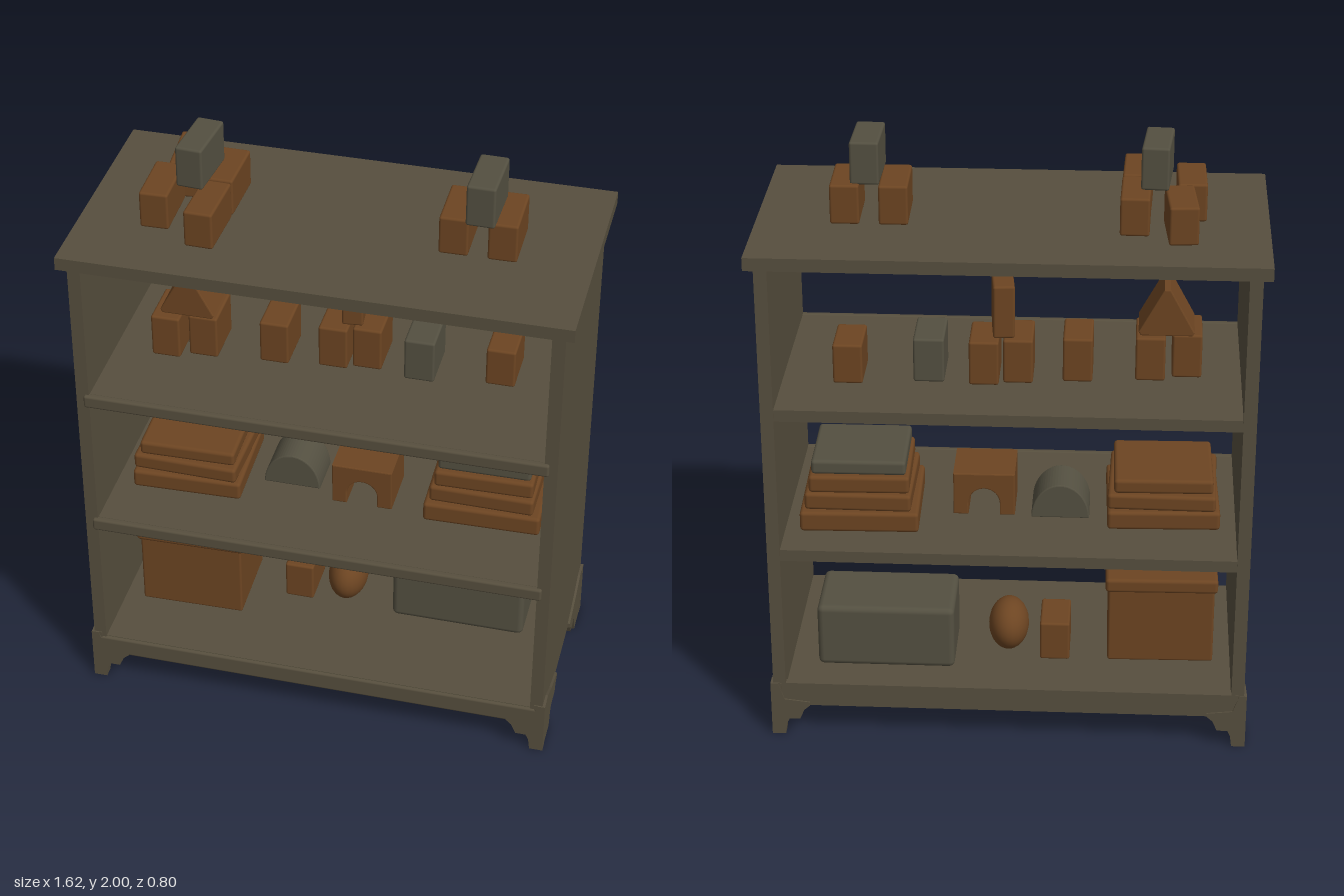
import * as THREE from 'three';
import { RoundedBoxGeometry } from 'three/addons/geometries/RoundedBoxGeometry.js';

export function createModel() {
  const model = new THREE.Group();
  const mat = (name, color) => Object.assign(new THREE.MeshStandardMaterial({ color }), { name });
  const wood = mat('dark wood', 0x574f3e);
  const brown = mat('brown', 0x6d4522);
  const grey = mat('grey', 0x545041);

  const add = (name, geometry, material, x = 0, y = 0, z = 0, ry = 0) => {
    const mesh = new THREE.Mesh(geometry, material);
    mesh.name = name;
    mesh.position.set(x, y, z);
    mesh.rotation.y = ry;
    model.add(mesh);
    return mesh;
  };
  // Square-edged board given by its limits
  const board = (name, x0, x1, y0, y1, z0, z1) =>
    add(name, new THREE.BoxGeometry(x1 - x0, y1 - y0, z1 - z0), wood,
      (x0 + x1) / 2, (y0 + y1) / 2, (z0 + z1) / 2);
  // Soft-edged block standing on y
  const block = (name, material, x, y, z, w, h, d, ry = 0, r = 0.008) =>
    add(name, new RoundedBoxGeometry(w, h, d, 2, r), material, x, y + h / 2, z, ry);
  const outline = points => new THREE.Shape(points.map(([x, y]) => new THREE.Vector2(x, y)));
  const extrude = (shape, depth, bevel = 0) => new THREE.ExtrudeGeometry(shape, {
    depth: depth - 2 * bevel, curveSegments: 16, bevelEnabled: bevel > 0,
    bevelSize: bevel, bevelThickness: bevel, bevelOffset: -bevel, bevelSegments: 2,
  }).translate(0, 0, -depth / 2 + bevel);

  // Cabinet, open at front and back
  board('top', -0.81, 0.81, 1.692, 1.735, -0.4, 0.4);
  for (const s of [-1, 1]) {
    const mid = s * 0.76;
    board('sidePanel', mid - 0.021, mid + 0.021, 0.112, 1.692, -0.375, 0.375);
  }
  for (const y of [0.66, 1.165]) {
    board('shelf', -0.74, 0.74, y, y + 0.04, -0.37, 0.375);
    block('shelfNosing', wood, 0, y - 0.002, 0.375, 1.51, 0.045, 0.024);
  }
  board('bottom', -0.74, 0.74, 0.112, 0.18, -0.37, 0.37);
  block('bottomNosing', wood, 0, 0.11, 0.36, 1.53, 0.068, 0.04);
  board('backRail', -0.76, 0.76, 0.112, 0.196, -0.375, -0.35);

  // Bracket feet: one stepped plate along the side, one along the face
  const sideFoot = [[0, 0], [0.125, 0], [0.138, 0.05], [0.15, 0.07], [0.22, 0.07], [0.232, 0.1],
    [0.25, 0.113], [0.25, 0.13], [0.14, 0.16], [0.06, 0.196], [0, 0.196]];
  const faceFoot = [[0, 0], [0.045, 0], [0.05, 0.04], [0.06, 0.06], [0.095, 0.06], [0.11, 0.095],
    [0.13, 0.113], [0.13, 0.125], [0.045, 0.135], [0.025, 0.196], [0, 0.196]];
  for (const sx of [-1, 1]) {
    for (const sz of [-1, 1]) {
      const side = extrude(outline(sideFoot.map(([u, v]) => [sz * (0.378 - u), v])), 0.036);
      add('footSide', side.rotateY(-Math.PI / 2), wood, sx * 0.771);
      const face = extrude(outline(faceFoot.map(([u, v]) => [sx * (0.79 - u), v])), 0.036);
      add('footFace', face, wood, 0, 0, sz * 0.362);
    }
  }

  // Blocks on the top
  const T = 1.735;
  for (const [x, z, ry] of [[-0.53, -0.135, 0.08], [-0.387, -0.067, -0.02],
    [-0.563, 0.065, 0.02], [-0.393, 0.14, -0.03]])
    block('topBlock', brown, x, T, z, 0.093, 0.125, 0.2, ry);
  block('topGreyBlock', grey, -0.453, T + 0.125, 0.005, 0.088, 0.14, 0.2, -0.08);
  for (const x of [0.373, 0.527]) block('topBlock', brown, x, T, -0.013, 0.093, 0.13, 0.2, 0.01);
  block('topGreyBlock', grey, 0.461, T + 0.125, 0.008, 0.092, 0.14, 0.2, -0.02);

  // Blocks on the upper shelf
  const U = 1.205;
  for (const [x, z, h] of [[-0.563, 0.02, 0.15], [-0.445, -0.01, 0.15], [-0.212, -0.03, 0.15],
    [-0.021, -0.05, 0.15], [0.088, -0.07, 0.15], [0.525, -0.08, 0.135]])
    block('shelfBlock', x === -0.212 ? grey : brown, x, U, z, 0.096, h, 0.17).material = brown;
  block('uprightBlock', brown, 0.03, U + 0.15, -0.06, 0.07, 0.18, 0.12, 0.1);
  block('greyBlock', grey, 0.266, U, -0.05, 0.1, 0.15, 0.18);
  add('prism', extrude(outline([[-0.09, 0.012], [-0.083, 0], [0.083, 0], [0.09, 0.012],
    [0.01, 0.16], [-0.01, 0.16]]), 0.16, 0.004), brown, -0.495, U + 0.153, 0);

  // Book stacks, half cylinder and arch on the lower shelf
  const L = 0.7;
  const stack = (x, z, books) => {
    let y = L;
    for (const [w, h, d, ry, m] of books) {
      block('book', m, x, y, z, w, h, d, ry, 0.012);
      y += h;
    }
  };
  stack(-0.497, 0, [[0.37, 0.065, 0.35, 0.03, brown], [0.355, 0.055, 0.33, -0.02, brown],
    [0.325, 0.05, 0.3, 0.02, brown]]);
  stack(0.498, -0.06, [[0.39, 0.07, 0.36, 0.02, brown], [0.35, 0.06, 0.33, -0.01, brown],
    [0.33, 0.06, 0.31, 0.02, brown], [0.31, 0.05, 0.28, 0.01, grey]]);

  const half = new THREE.Shape();
  half.absellipse(0, 0, 0.096, 0.12, 0, Math.PI, false);
  half.closePath();
  add('halfCylinder', extrude(half, 0.15, 0.004), grey, -0.16, L, -0.03);

  const arch = outline([[-0.052, 0], [-0.102, 0], [-0.102, 0.15], [0.102, 0.15], [0.102, 0], [0.052, 0]]);
  arch.lineTo(0.052, 0.04);
  arch.absellipse(0, 0.04, 0.052, 0.055, 0, Math.PI, false);
  arch.closePath();
  add('archBlock', extrude(arch, 0.19, 0.004), brown, 0.093, L, 0);

  // Storage box, block, egg and chest on the bottom
  const B = 0.18;
  block('storageBox', brown, -0.5, B, 0, 0.355, 0.28, 0.29, 0.02);
  block('storageBoxLid', brown, -0.5, B + 0.27, 0, 0.375, 0.05, 0.32, 0.02, 0.012);
  block('smallBlock', brown, -0.147, B, -0.07, 0.1, 0.14, 0.17);
  add('egg', new THREE.SphereGeometry(1, 24, 16).scale(0.068, 0.088, 0.1), brown, 0.012, 0.266, -0.06);
  block('chest', grey, 0.417, B, -0.1, 0.46, 0.225, 0.26, 0, 0.02);

  return model;
}
